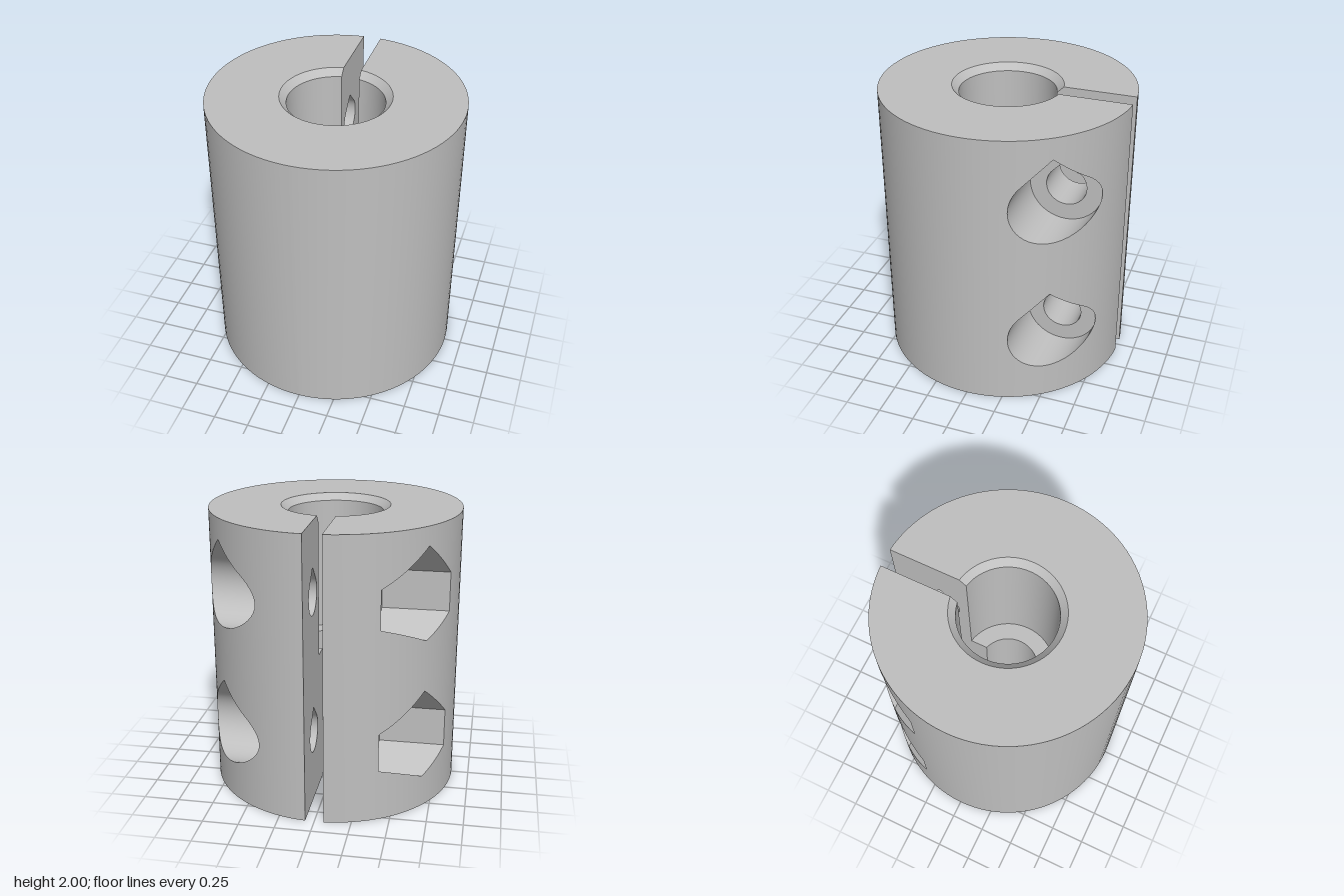
import * as THREE from 'three';
import { toCreasedNormals } from 'three/addons/utils/BufferGeometryUtils.js';

const R = 0.877, H = 2;            // outer radius and height
const SLOT = 0.063;                // half width of the clamping slot
const BOLT_Z = -0.535, BOLT_Y = [0.5, 1.5];
const FLOOR_X = 0.367;             // depth plane of the screw recesses
// Bore from bottom to top: chamfer, small bore, step, large bore, chamfer
const BORE = [[0.24, 0], [0.213, 0.027], [0.213, 1], [0.333, 1], [0.333, 1.953], [0.38, H]];

// Hole profiles: lower and upper edge as functions of the offset d from the axis
const teardrop = (r) => ({
  h: r,
  low: (d) => -Math.sqrt(Math.max(0, r * r - d * d)),
  high: (d) => Math.abs(d) < r * Math.SQRT1_2 ? r * Math.SQRT2 - Math.abs(d) : Math.sqrt(Math.max(0, r * r - d * d)),
});
const peakedHex = (a) => ({
  h: a,
  low: (d) => -(2 * a - Math.abs(d)) / Math.sqrt(3),
  high: (d) => a / Math.sqrt(3) + a - Math.abs(d),
});

const range = (n, f) => Array.from({ length: n + 1 }, (_, i) => f(i / n));
const offsets = (p) => range(24, (t) => p.h * Math.sin((t - 0.5) * Math.PI));
const v3 = (x, y, z) => new THREE.Vector3(x, y, z);
const onWall = (phi, y, r = R) => v3(r * Math.sin(phi), y, -r * Math.cos(phi));
const slotAngle = (r) => Math.asin(SLOT / r);

// Closed outline of a hole as [z, y] points
function outline(p, cy) {
  const ds = offsets(p);
  const pts = [...ds.map((d) => [BOLT_Z + d, cy + p.low(d)]),
    ...ds.slice().reverse().map((d) => [BOLT_Z + d, cy + p.high(d)])];
  return pts.filter((a, i) => {
    const b = pts[(i + 1) % pts.length];
    return Math.hypot(a[0] - b[0], a[1] - b[1]) > 1e-6;
  });
}

// Quads between neighbouring rows of points, skipping collapsed triangles
function loft(rows, out = []) {
  const tri = (a, b, c) => {
    if (a.distanceTo(b) > 1e-6 && b.distanceTo(c) > 1e-6 && c.distanceTo(a) > 1e-6) {
      out.push(...a.toArray(), ...b.toArray(), ...c.toArray());
    }
  };
  for (let i = 0; i + 1 < rows.length; i++) {
    for (let j = 0; j + 1 < rows[i].length; j++) {
      const [a, b, c, d] = [rows[i][j], rows[i + 1][j], rows[i + 1][j + 1], rows[i][j + 1]];
      tri(a, b, c);
      tri(a, c, d);
    }
  }
  return out;
}
const fromList = (list) =>
  new THREE.BufferGeometry().setAttribute('position', new THREE.Float32BufferAttribute(list, 3));

// Flat plate facing +x, from [z, y] outlines
function sidePlate(edge, holes, x) {
  const toVec = ([z, y]) => new THREE.Vector2(-z, y);
  const shape = new THREE.Shape(edge.map(toVec));
  shape.holes = holes.map((o) => new THREE.Path(o.map(toVec)));
  return new THREE.ShapeGeometry(shape).rotateY(Math.PI / 2).translate(x, 0, 0);
}

// Tunnel wall following a hole outline, from x0 to x1(z)
function tunnel(p, x0, x1) {
  const out = [];
  for (const cy of BOLT_Y) {
    const o = outline(p, cy);
    loft([...o, o[0]].map(([z, y]) => [v3(x0, y, z), v3(x1(z), y, z)]), out);
  }
  return fromList(out);
}

// Geometry of the +x half, with a recess of the given profile
function halfParts(pocket) {
  const bolt = teardrop(0.137);
  const phiAt = (z) => Math.acos(-z / R);
  const before = range(6, (t) => THREE.MathUtils.lerp(slotAngle(R), phiAt(BOLT_Z - pocket.h), t));
  const after = range(28, (t) => THREE.MathUtils.lerp(phiAt(BOLT_Z + pocket.h), Math.PI, t));
  const ds = offsets(pocket);
  const across = ds.map((d) => phiAt(BOLT_Z + d));

  // Outer wall: plain columns, and columns interrupted by the recesses
  const wall = [];
  for (const list of [before, after]) loft(list.map((p) => [onWall(p, H), onWall(p, 0)]), wall);
  const [c0, c1] = BOLT_Y;
  const bands = [
    (d) => [H, c1 + pocket.high(d)],
    (d) => [c1 + pocket.low(d), c0 + pocket.high(d)],
    (d) => [c0 + pocket.low(d), 0],
  ];
  for (const band of bands) loft(ds.map((d, i) => band(d).map((y) => onWall(across[i], y))), wall);

  // Stepped bore
  const boreAngle = (r, t) => THREE.MathUtils.lerp(slotAngle(r), Math.PI, t);
  const bore = loft(range(48, (t) => BORE.map(([r, y]) => onWall(boreAngle(r, t), y, r))));

  // Ring-shaped end faces
  const endFace = (r, y, s) => {
    const rim = [...before, ...across.slice(1, -1), ...after].map((p) => onWall(p, 0));
    const inner = range(48, (t) => onWall(boreAngle(r, 1 - t), 0, r));
    const pts = [...rim, ...inner].map((p) => new THREE.Vector2(p.x, -s * p.z));
    return new THREE.ShapeGeometry(new THREE.Shape(pts)).rotateX(-s * Math.PI / 2).translate(0, y, 0);
  };

  // Slot cheek, faces inward so it is made facing +x and then turned over
  const zAt = (r) => -Math.sqrt(r * r - SLOT * SLOT);
  const cheekEdge = [[zAt(R), 0], ...BORE.map(([r, y]) => [zAt(r), y]), [zAt(R), H]];
  const cheek = flip(sidePlate(cheekEdge, BOLT_Y.map((y) => outline(bolt, y)), SLOT));

  const parts = {
    outerWall: fromList(wall),
    bore: fromList(bore),
    topFace: endFace(0.38, H, 1),
    bottomFace: endFace(0.24, 0, -1),
    slotCheek: cheek,
    recessWalls: tunnel(pocket, FLOOR_X, (z) => Math.sqrt(R * R - z * z)),
    boltHoles: tunnel(bolt, SLOT, () => FLOOR_X),
  };
  BOLT_Y.forEach((y, i) => {
    parts[['lowerRecessFloor', 'upperRecessFloor'][i]] = sidePlate(outline(pocket, y), [outline(bolt, y)], FLOOR_X);
  });
  return parts;
}

// Reverse the facing of every triangle
function flip(geometry) {
  const g = geometry.index ? geometry.toNonIndexed() : geometry;
  const a = g.attributes.position.array;
  for (let i = 0; i < a.length; i += 9) {
    for (let k = 0; k < 3; k++) [a[i + 3 + k], a[i + 6 + k]] = [a[i + 6 + k], a[i + 3 + k]];
  }
  return g;
}

export function createModel() {
  const model = new THREE.Group();
  model.name = 'clampCoupling';
  const grey = new THREE.MeshStandardMaterial({ color: 0xbfbfbf });
  grey.name = 'light grey';

  // Screw-head side on +x, nut side on -x
  const halves = [['screwHalf', teardrop(0.249), 1], ['nutHalf', peakedHex(0.235), -1]];
  for (const [name, pocket, side] of halves) {
    const half = new THREE.Group();
    half.name = name;
    for (const [part, geometry] of Object.entries(halfParts(pocket))) {
      const g = side < 0 ? flip(geometry.scale(-1, 1, 1)) : geometry;
      const mesh = new THREE.Mesh(toCreasedNormals(g, 0.5), grey);
      mesh.name = part;
      half.add(mesh);
    }
    model.add(half);
  }
  return model;
}
